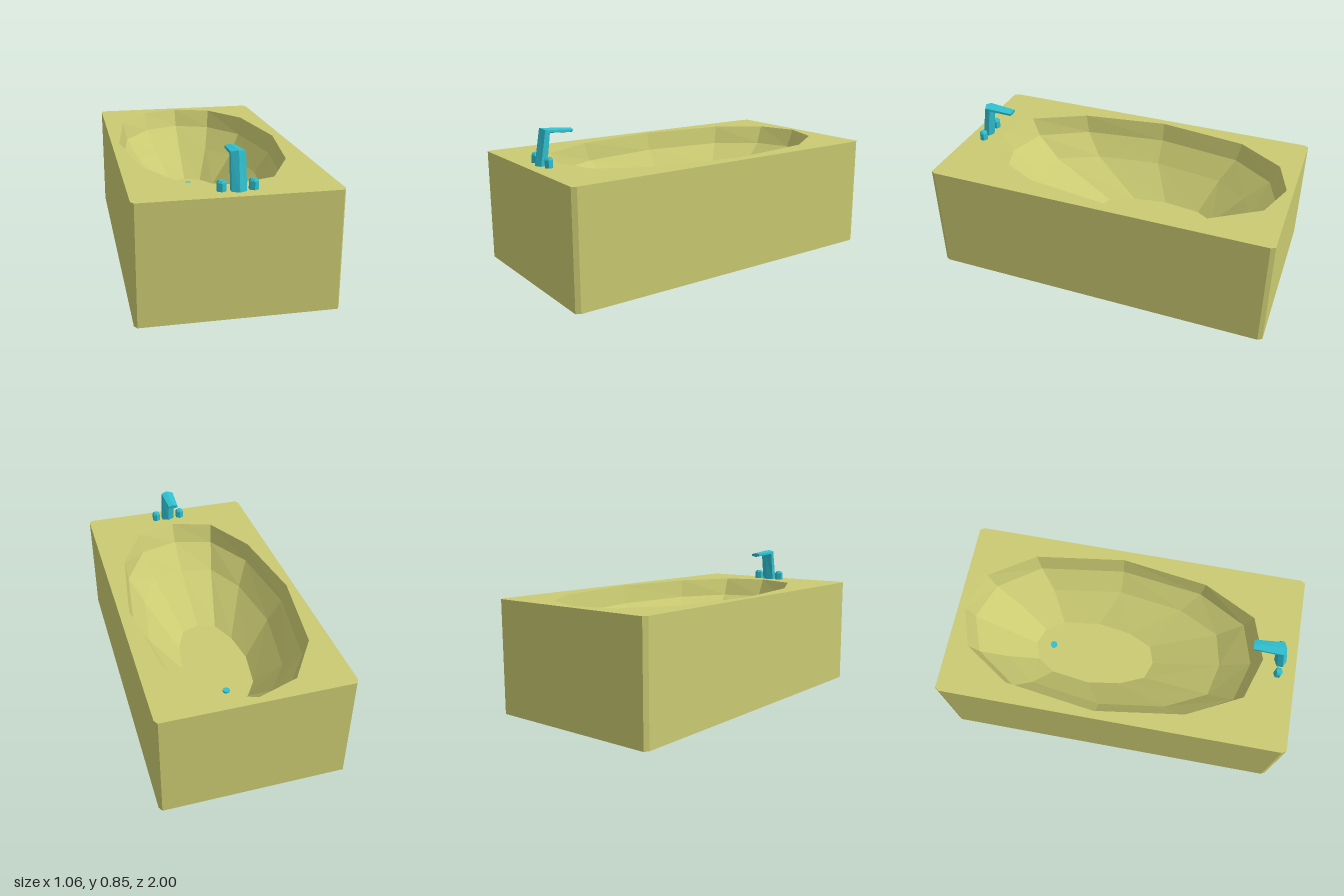
import * as THREE from 'three';

const TUB = new THREE.MeshStandardMaterial({ color: 0xcaca72, flatShading: true });
const METAL = new THREE.MeshStandardMaterial({ color: 0x2fc0d0, flatShading: true });
const RIM_Y = 0.645;

// Skin a list of equal-length rings, each running from +x towards +z, with optional end caps.
function loft(rings, capStart, capEnd) {
  const n = rings[0].length;
  const points = rings.flat();
  const index = [];
  for (let r = 0; r < rings.length - 1; r++) {
    for (let i = 0; i < n; i++) {
      const a = r * n + i, a2 = r * n + (i + 1) % n;
      index.push(a, a + n, a2 + n, a, a2 + n, a2);
    }
  }
  const last = (rings.length - 1) * n;
  for (let i = 1; i < n - 1; i++) {
    if (capStart) index.push(0, i, i + 1);
    if (capEnd) index.push(last, last + i + 1, last + i);
  }
  const geometry = new THREE.BufferGeometry().setFromPoints(points).setIndex(index).toNonIndexed();
  geometry.computeVertexNormals();
  return geometry;
}

// Mirror half an outline (back to front, [x, z]) into a closed ring at height y.
function mirroredRing(half, y, cx = 0) {
  const right = half.map(([x, z]) => new THREE.Vector3(cx + x, y, z));
  const left = half.slice(1, -1).reverse().map(([x, z]) => new THREE.Vector3(cx - x, y, z));
  return [...right, ...left];
}

// Hexagon spanned by a half-width along x and a second half-axis vector.
function hexRing(center, halfWidth, axis) {
  return Array.from({ length: 6 }, (_, i) => {
    const t = Math.PI / 6 + i * Math.PI / 3;
    const x = halfWidth * Math.cos(t) / Math.cos(Math.PI / 6);
    return center.clone().addScaledVector(axis, Math.sin(t)).add(new THREE.Vector3(x, 0, 0));
  });
}

function add(parent, name, geometry, material) {
  const mesh = new THREE.Mesh(geometry, material);
  mesh.name = name;
  parent.add(mesh);
  return mesh;
}

export function createModel() {
  const model = new THREE.Group();
  model.name = 'bathtub';

  // Outer block with narrow chamfered corners
  const outline = [[0, -1], [0.515, -1], [0.53, -0.975], [0.53, 0.975], [0.515, 1], [0, 1]];
  const top = mirroredRing(outline, RIM_Y);
  add(model, 'outerShell', loft([mirroredRing(outline, 0), top], true, false), TUB);

  // Basin: faceted oval walls sinking to a small flat floor
  const cx = -0.007;
  const basin = [
    mirroredRing([[0, -0.96], [0.23, -0.88], [0.405, -0.615], [0.478, -0.09], [0.405, 0.42], [0.245, 0.73], [0, 0.81]], RIM_Y, cx),
    mirroredRing([[0, -0.915], [0.215, -0.835], [0.385, -0.59], [0.455, -0.09], [0.39, 0.4], [0.235, 0.685], [0, 0.755]], 0.535, cx),
    mirroredRing([[0, -0.77], [0.175, -0.7], [0.31, -0.51], [0.37, -0.09], [0.315, 0.3], [0.195, 0.54], [0, 0.585]], 0.41, cx),
    mirroredRing([[0, -0.57], [0.102, -0.53], [0.17, -0.425], [0.2, -0.2], [0.17, 0], [0.105, 0.145], [0, 0.18]], 0.24, cx),
  ];
  add(model, 'basin', loft(basin, false, true), TUB);

  // Flat deck around the basin opening
  const flat = ring => ring.map(p => new THREE.Vector2(p.x, -p.z));
  const deck = new THREE.Shape(flat(top));
  deck.holes.push(new THREE.Path(flat(basin[0])));
  add(model, 'deck', new THREE.ShapeGeometry(deck).rotateX(-Math.PI / 2).translate(0, RIM_Y, 0), TUB);

  // Drain plug
  add(model, 'drain', new THREE.CylinderGeometry(0.021, 0.021, 0.012, 10), METAL)
    .position.set(0, 0.244, -0.46);

  // Tap: leaning hexagonal column mitred into a flattened spout
  const v = (y, z) => new THREE.Vector3(0.004, y, z);
  const axis = (y, z) => new THREE.Vector3(0, y, z);
  const tap = [
    hexRing(v(RIM_Y - 0.005, 0.909), 0.038, axis(0, 0.036)),
    hexRing(v(0.829, 0.88), 0.038, axis(0.016, 0.026)),
    hexRing(v(0.818, 0.728), 0.029, axis(0.013, -0.002)),
  ];
  add(model, 'tap', loft(tap, true, true), METAL);

  // Pair of hexagonal handles with bevelled tops
  for (const [name, x] of [['leftHandle', 0.083], ['rightHandle', -0.079]]) {
    const up = [[RIM_Y - 0.005, 0.024], [0.688, 0.024], [0.7, 0.016]];
    const rings = up.map(([y, r]) => hexRing(new THREE.Vector3(x, y, 0.9), r * 0.95, axis(0, r)));
    add(model, name, loft(rings, true, true), METAL);
  }

  return model;
}
